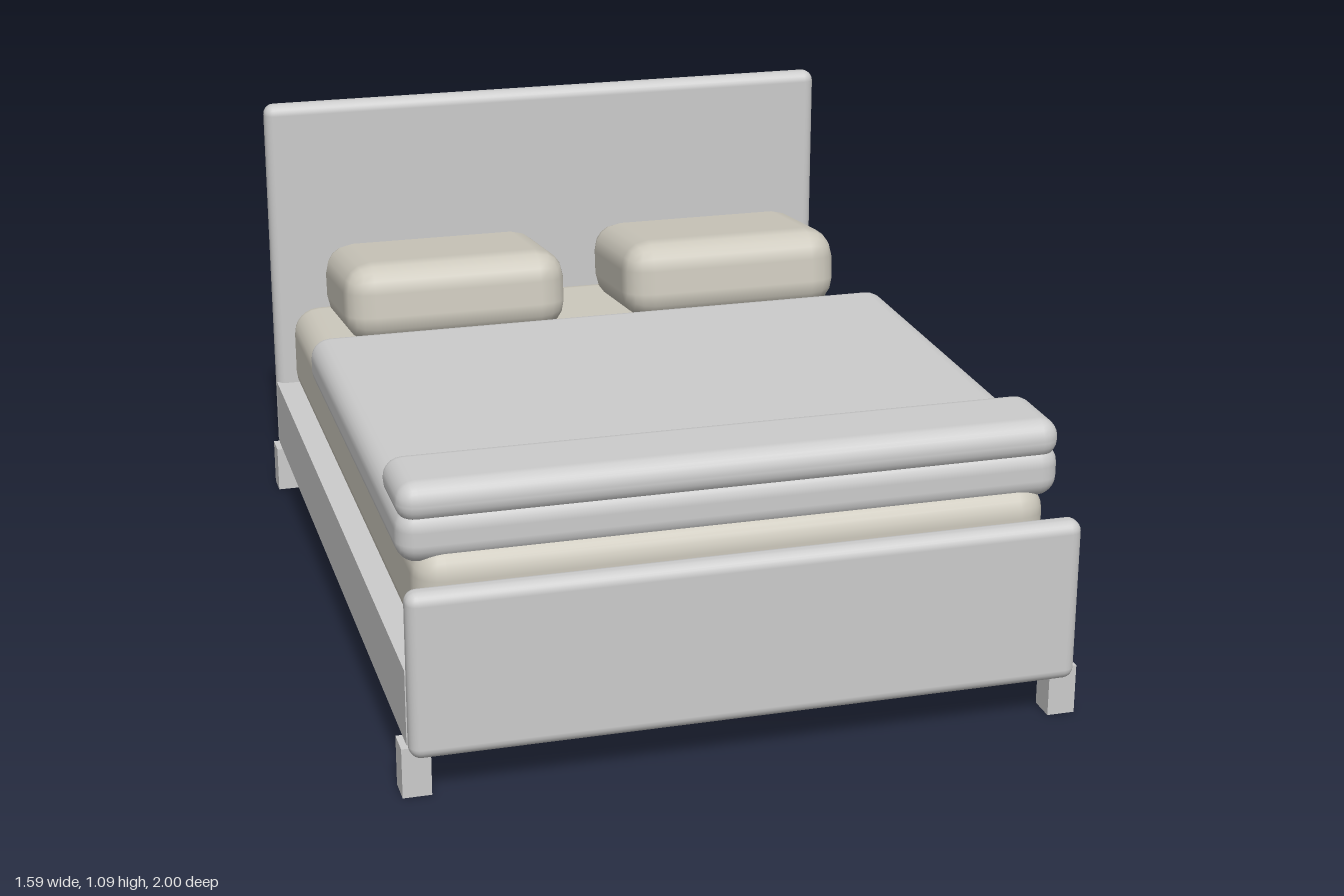
import * as THREE from 'three';
import { RoundedBoxGeometry } from 'three/addons/geometries/RoundedBoxGeometry.js';

const grey = new THREE.MeshStandardMaterial({ color: 0xcccccc });
const greyShell = new THREE.MeshStandardMaterial({ color: 0xcccccc, side: THREE.DoubleSide });
const linen = new THREE.MeshStandardMaterial({ color: 0xccc8bc });

// Place a geometry as a named mesh
function addPart(group, name, geometry, material, x, y, z) {
  const mesh = new THREE.Mesh(geometry, material);
  mesh.name = name;
  mesh.position.set(x, y, z);
  group.add(mesh);
  return mesh;
}

// Soft-edged block spanning y0..y1 and z0..z1, centred on x
function addSoftBlock(group, name, width, y0, y1, z0, z1, radius, segments, material) {
  const geometry = new RoundedBoxGeometry(width, y1 - y0, z1 - z0, segments, radius);
  return addPart(group, name, geometry, material, 0, (y0 + y1) / 2, (z0 + z1) / 2);
}

// Box shell without its underside
function openBox(width, height, depth) {
  const geometry = new THREE.BoxGeometry(width, height, depth);
  const index = Array.from(geometry.index.array);
  index.splice(18, 6);
  geometry.setIndex(index);
  geometry.clearGroups();
  return geometry;
}

export function createModel() {
  const bed = new THREE.Group();
  bed.name = 'bed';

  // Frame: side rails and deck, hollow underneath
  addPart(bed, 'frame', openBox(1.56, 0.18, 1.9), greyShell, 0, 0.21, 0);

  // Four short legs
  for (const x of [-0.762, 0.762]) {
    for (const z of [-0.93, 0.932]) {
      addPart(bed, 'leg', openBox(0.066, 0.12, 0.068), greyShell, x, 0.06, z);
    }
  }

  // Upholstered end panels
  addSoftBlock(bed, 'headboard', 1.56, 0.1, 1.09, -1, -0.937, 0.028, 3, grey);
  addSoftBlock(bed, 'footboard', 1.56, 0.1, 0.495, 0.937, 1, 0.028, 3, grey);

  // Mattress and bedding
  addSoftBlock(bed, 'mattress', 1.48, 0.3, 0.545, -0.9, 0.9, 0.07, 3, linen);
  addSoftBlock(bed, 'blanket', 1.545, 0.505, 0.635, -0.355, 0.88, 0.05, 3, grey);
  addSoftBlock(bed, 'foldedThrow', 1.54, 0.6, 0.695, 0.655, 0.88, 0.045, 3, grey);

  // Two pillows, front edge raised slightly
  const pillowGeometry = new RoundedBoxGeometry(0.585, 0.21, 0.43, 2, 0.075);
  for (const x of [-0.372, 0.372]) {
    const pillow = addPart(bed, 'pillow', pillowGeometry, linen, x, 0.665, -0.58);
    pillow.rotation.x = -0.12;
  }

  return bed;
}
